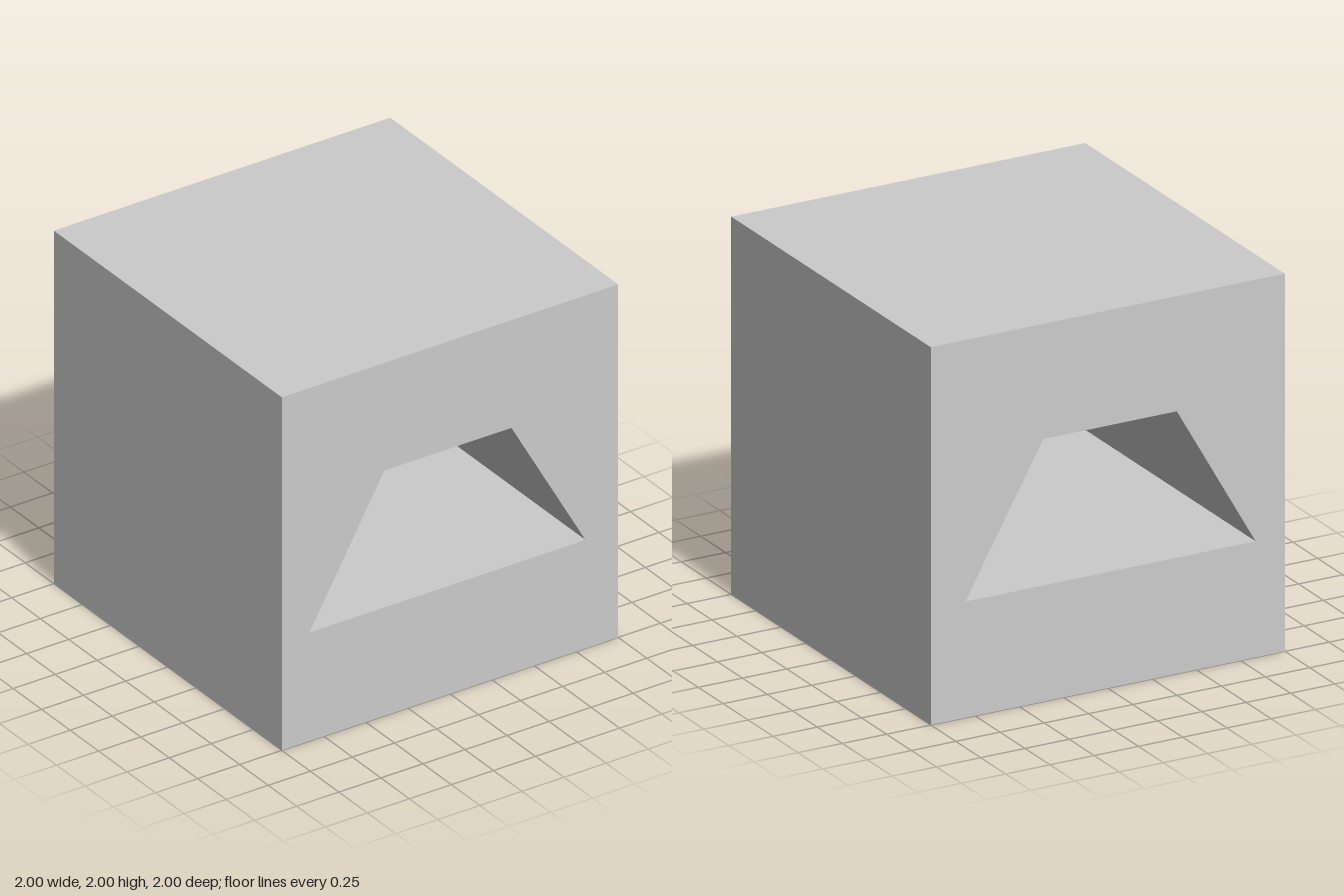
import * as THREE from 'three';

export function createModel() {
  const group = new THREE.Group();
  const material = new THREE.MeshStandardMaterial({ color: 0xcccccc, flatShading: true });

  // Square block outline
  const outline = new THREE.Shape([[-1, 0], [1, 0], [1, 2], [-1, 2]].map(([x, y]) => new THREE.Vector2(x, y)));

  // Trapezoid tunnel running from front to back
  const tunnel = [[-0.835, 0.615], [-0.39, 1.39], [0.365, 1.39], [0.805, 0.615]];
  outline.holes.push(new THREE.Path(tunnel.map(([x, y]) => new THREE.Vector2(x, y))));

  const geometry = new THREE.ExtrudeGeometry(outline, { depth: 2, bevelEnabled: false });
  geometry.translate(0, 0, -1);

  const block = new THREE.Mesh(geometry, material);
  block.name = 'blockWithTunnel';
  group.add(block);
  return group;
}
